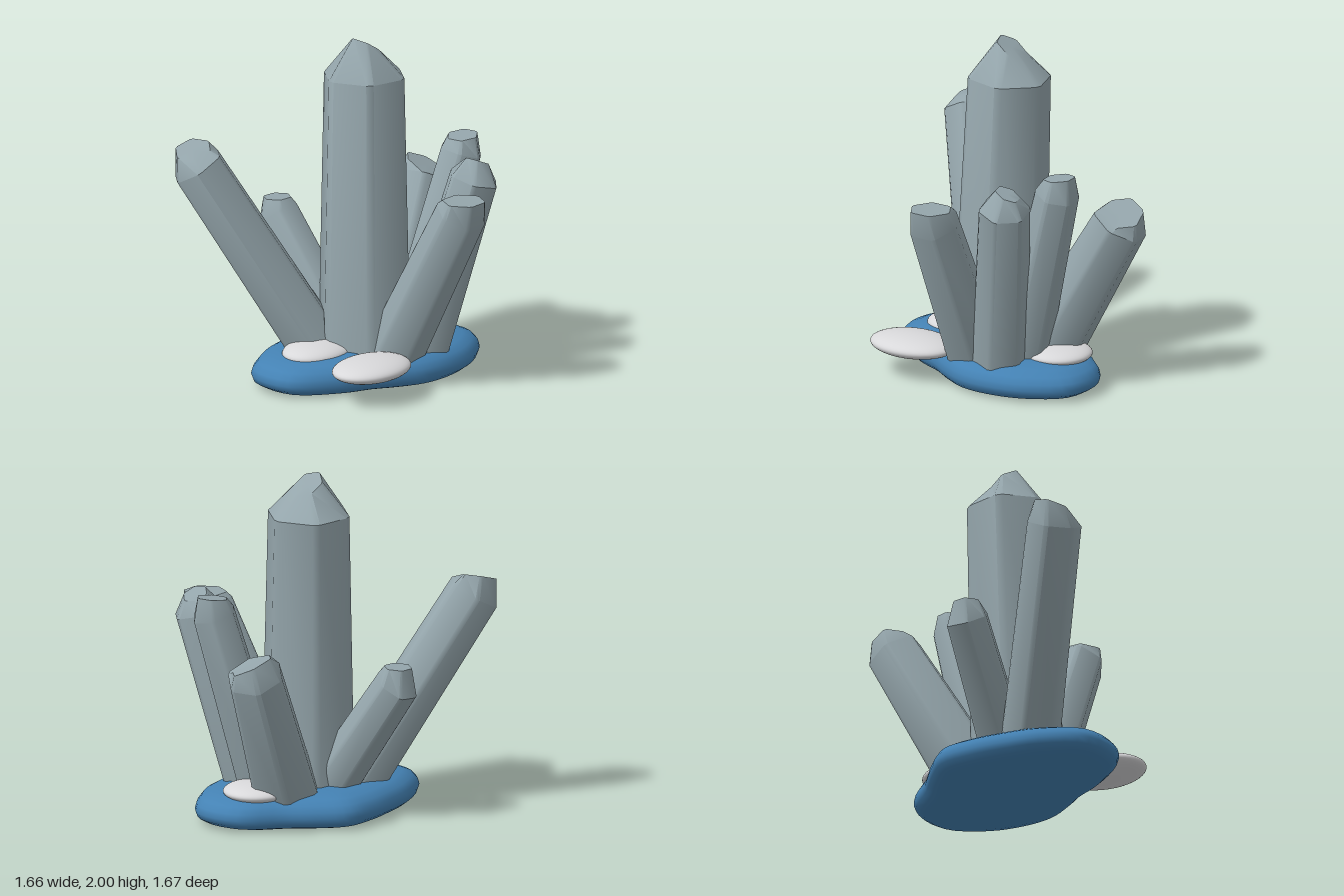
import * as THREE from 'three';
import { mergeVertices, toCreasedNormals } from 'three/addons/utils/BufferGeometryUtils.js';

const V = (a) => new THREE.Vector3(...a);

function makeMaterial(name, color) {
  const m = new THREE.MeshStandardMaterial({ color });
  m.name = name;
  return m;
}

// Six-sided crystal with softened corners: a leaning, tapering shaft cut off by a sloping tip facet.
function crystalGeometry({ base, shoulder, tip, r, phase, slope }) {
  const [b, s, t] = [V(base), V(shoulder), V(tip)];
  const q = new THREE.Quaternion().setFromUnitVectors(new THREE.Vector3(0, 1, 0), s.clone().sub(b).normalize());
  const geo = new THREE.LatheGeometry(Array.from({ length: 5 }, () => new THREE.Vector2()), 12);
  const pos = geo.attributes.position;
  for (let i = 0; i <= 12; i++) {
    // pairs of columns sit close together on each of the six corners
    const a = phase + Math.floor(i / 2) * Math.PI / 3 + (i % 2 ? 0.09 : -0.09);
    const out = new THREE.Vector3(Math.sin(a), 0, Math.cos(a));
    const facet = out.clone().setY(out.x * slope[0] + out.z * slope[1]);
    out.applyQuaternion(q);
    [
      b,
      b.clone().addScaledVector(out, r[0]),
      s.clone().addScaledVector(out, r[1]),
      t.clone().addScaledVector(facet, r[2]),
      t,
    ].forEach((p, j) => pos.setXYZ(i * 5 + j, p.x, p.y, p.z));
  }
  geo.deleteAttribute('uv');
  return toCreasedNormals(geo, 0.62);
}

// Soft, flat-bottomed mound whose outline radius varies around the centre.
function moundGeometry() {
  const radii = [0.47, 0.53, 0.62, 0.71, 0.66, 0.51, 0.49, 0.52, 0.5, 0.52, 0.61, 0.735, 0.705, 0.53, 0.42, 0.42];
  const n = radii.length;
  const outline = new THREE.CatmullRomCurve3(radii.map((r, i) => {
    const a = (i / n) * Math.PI * 2;
    return new THREE.Vector3(Math.sin(a) * r, 0, Math.cos(a) * r);
  }), true);
  const section = [[0, 0.005], [0.82, 0.005], [0.92, 0.02], [0.98, 0.045], [1, 0.08], [0.985, 0.115],
    [0.94, 0.15], [0.85, 0.178], [0.7, 0.195], [0.45, 0.2], [0, 0.2]].map((p) => new THREE.Vector2(...p));
  const segments = 64;
  const geo = new THREE.LatheGeometry(section, segments);
  const pos = geo.attributes.position;
  for (let i = 0; i <= segments; i++) {
    const p = outline.getPoint((i % segments) / segments);
    section.forEach((s, j) => pos.setXYZ(i * section.length + j, p.x * s.x, s.y, p.z * s.x));
  }
  geo.deleteAttribute('normal');
  geo.deleteAttribute('uv');
  const smooth = mergeVertices(geo);
  smooth.computeVertexNormals();
  return smooth;
}

export function createModel() {
  const model = new THREE.Group();
  model.name = 'crystalCluster';
  const crystalGrey = makeMaterial('crystalGrey', 0x94a5ab);
  const moundBlue = makeMaterial('moundBlue', 0x4482b4);
  const pebbleWhite = makeMaterial('pebbleWhite', 0xd8d8da);

  const add = (name, geo, mat) => {
    const mesh = new THREE.Mesh(geo, mat);
    mesh.name = name;
    model.add(mesh);
    return mesh;
  };

  add('mound', moundGeometry(), moundBlue);

  // Crystals; r lists the base, shoulder and tip radii, slope tilts the tip facet along x and z
  const crystals = {
    mainCrystal: { base: [-0.03, 0.12, 0.01], shoulder: [0.015, 1.77, -0.03], tip: [0.03, 1.945, -0.035], r: [0.275, 0.24, 0.085], phase: 1.36, slope: [-0.66, 0] },
    backRightCrystal: { base: [-0.2, 0.12, -0.16], shoulder: [-0.685, 1.26, -0.685], tip: [-0.69, 1.355, -0.715], r: [0.17, 0.157, 0.105], phase: 0.26, slope: [0.33, -0.08] },
    frontCrystal: { base: [-0.04, 0.12, 0.21], shoulder: [-0.01, 1.09, 0.71], tip: [-0.012, 1.178, 0.735], r: [0.17, 0.148, 0.122], phase: Math.PI / 2, slope: [0, 0] },
    frontLeftCrystal: { base: [0.16, 0.17, 0.28], shoulder: [0.345, 1.18, 0.51], tip: [0.37, 1.28, 0.515], r: [0.162, 0.147, 0.07], phase: 0.2, slope: [-0.45, 0] },
    leftCrystal: { base: [0.21, 0.15, 0.13], shoulder: [0.535, 1.24, 0.255], tip: [0.55, 1.338, 0.255], r: [0.155, 0.127, 0.09], phase: 0.1, slope: [0.1, 0] },
    backLeftCrystal: { base: [0.25, 0.15, -0.05], shoulder: [0.69, 0.97, -0.16], tip: [0.715, 1.04, -0.155], r: [0.2, 0.165, 0.115], phase: 0.2, slope: [-0.27, -0.4] },
    backCrystal: { base: [-0.04, 0.15, -0.13], shoulder: [-0.06, 0.835, -0.61], tip: [-0.06, 0.94, -0.615], r: [0.145, 0.128, 0.08], phase: 0.4, slope: [0, 0.05] },
  };
  for (const [name, spec] of Object.entries(crystals)) add(name, crystalGeometry(spec), crystalGrey);

  // Flat rounded pebbles: centre, then radii
  const pebbles = {
    frontPebble: [[-0.385, 0.19, 0.36], [0.265, 0.064, 0.195]],
    backPebble: [[-0.33, 0.19, -0.09], [0.23, 0.064, 0.18]],
    leftPebble: [[0.4, 0.2, 0.045], [0.2, 0.055, 0.195]],
  };
  const sphere = new THREE.SphereGeometry(1, 40, 24);
  for (const [name, [centre, size]] of Object.entries(pebbles)) {
    const mesh = add(name, sphere, pebbleWhite);
    mesh.position.set(...centre);
    mesh.scale.set(...size);
  }
  return model;
}
